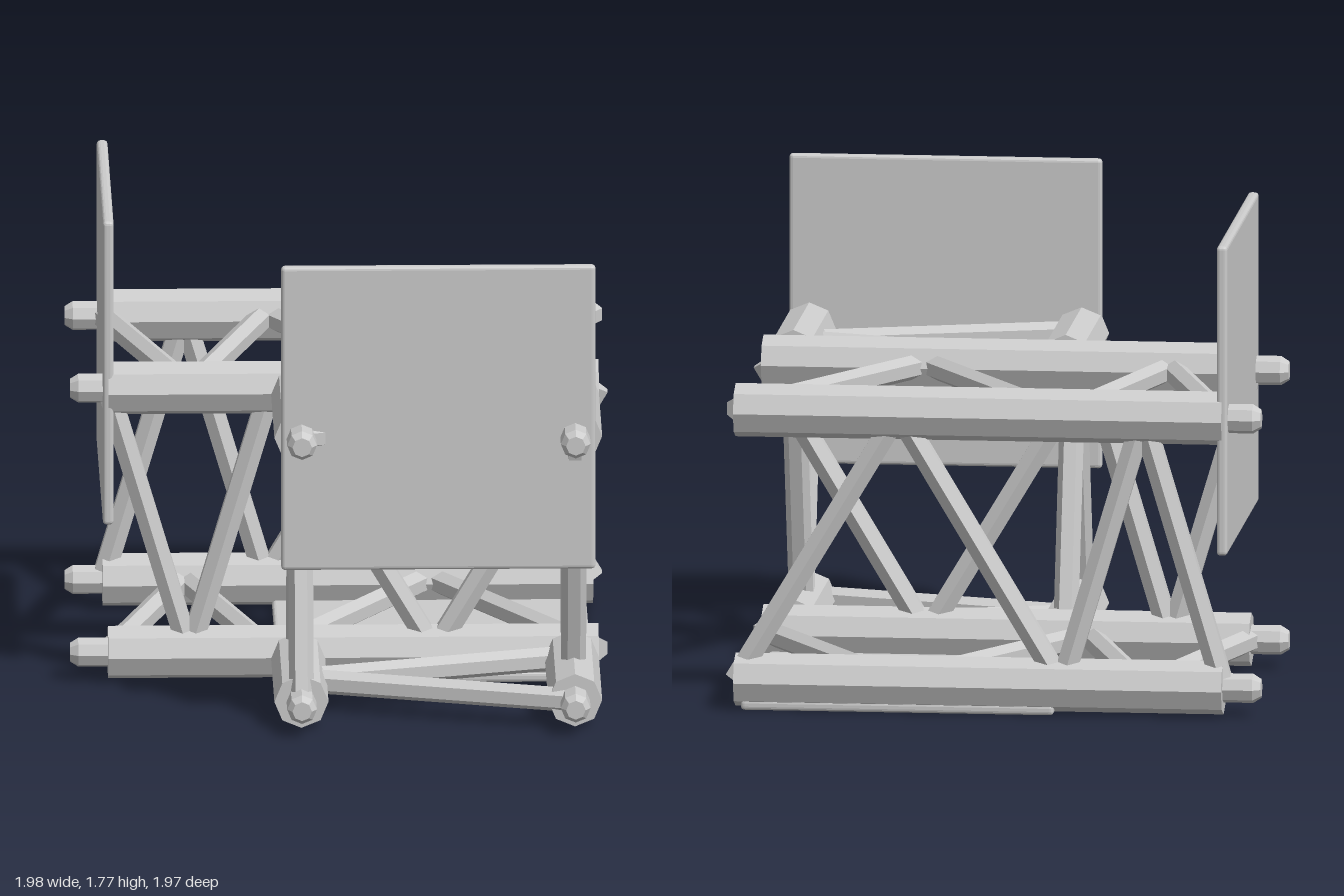
import * as THREE from 'three';
import { RoundedBoxGeometry } from 'three/addons/geometries/RoundedBoxGeometry.js';

const V = (x, y, z) => new THREE.Vector3(x, y, z);
const material = new THREE.MeshStandardMaterial({ color: 0xcccccc, flatShading: true });

// Main truss rails (run along x) and branch truss rails (run along z)
const LOW = 0.105, HIGH = 1.115;
const BACK = -0.885, FRONT = 0.13;
const RIGHT = -0.16, LEFT = 0.85;
const X_NODES = [-0.86, -0.56, -0.26, 0.345, 0.95];
const Z_NODES = [0.235, 0.537, 0.84];

function add(parent, name, geometry) {
  const mesh = new THREE.Mesh(geometry, material);
  mesh.name = name;
  parent.add(mesh);
  return mesh;
}

// Straight bar from a to b with one corner of its section turned towards normal
function bar(parent, name, a, b, radius, sides, normal, endRadius = radius) {
  const dir = b.clone().sub(a);
  const mesh = add(parent, name, new THREE.CylinderGeometry(endRadius, radius, dir.length(), sides));
  dir.normalize();
  const side = dir.clone().cross(normal).normalize();
  mesh.quaternion.setFromRotationMatrix(
    new THREE.Matrix4().makeBasis(side, dir, side.clone().cross(dir)));
  mesh.position.copy(a).add(b).multiplyScalar(0.5);
}

// Zigzag of hexagonal braces; at(node, startSide) gives the point on either rail
function lacing(parent, name, nodes, normal, at) {
  for (let i = 0; i < nodes.length - 1; i++) {
    bar(parent, name, at(nodes[i], i % 2 === 0), at(nodes[i + 1], i % 2 === 1), 0.046, 6, normal);
  }
}

// Connector pin with a chamfered tip, pointing from base along dir
function pin(parent, base, dir, up) {
  const point = (d) => base.clone().addScaledVector(dir, d);
  bar(parent, 'connectorPin', point(-0.02), point(0.11), 0.055, 8, up);
  bar(parent, 'connectorPinTip', point(0.11), point(0.14), 0.055, 8, up, 0.036);
}

function plate(parent, name, size, centre) {
  add(parent, name, new RoundedBoxGeometry(...size, 2, 0.014)).position.set(...centre);
}

export function createModel() {
  const group = new THREE.Group();
  const X = V(1, 0, 0), Y = V(0, 1, 0), Z = V(0, 0, 1);

  // Main truss along x
  const main = new THREE.Group();
  main.name = 'mainTruss';
  for (const y of [LOW, HIGH]) for (const z of [BACK, FRONT]) {
    bar(main, 'mainRail', V(-0.86, y, z), V(0.95, y, z), 0.1, 8, Y);
    pin(main, V(-0.86, y, z), V(-1, 0, 0), Y);
  }
  lacing(main, 'frontBrace', X_NODES, Z, (x, s) => V(x, s ? HIGH : LOW, FRONT));
  lacing(main, 'backBrace', X_NODES, Z, (x, s) => V(x, s ? LOW : HIGH, BACK));
  lacing(main, 'topBrace', X_NODES, Y, (x, s) => V(x, HIGH, s ? BACK : FRONT));
  lacing(main, 'bottomBrace', X_NODES, Y, (x, s) => V(x, LOW, s ? FRONT : BACK));

  // Branch truss along z
  const branch = new THREE.Group();
  branch.name = 'branchTruss';
  for (const y of [LOW, HIGH]) for (const x of [RIGHT, LEFT]) {
    bar(branch, 'branchRail', V(x, y, 0.235), V(x, y, 0.84), 0.1, 8, Y);
    pin(branch, V(x, y, 0.84), Z, Y);
  }
  lacing(branch, 'leftBrace', Z_NODES, X, (z, s) => V(LEFT, s ? HIGH : LOW, z));
  lacing(branch, 'rightBrace', Z_NODES, X, (z, s) => V(RIGHT, s ? LOW : HIGH, z));
  lacing(branch, 'topBrace', Z_NODES, Y, (z, s) => V(s ? RIGHT : LEFT, HIGH, z));
  lacing(branch, 'bottomBrace', Z_NODES, Y, (z, s) => V(s ? LEFT : RIGHT, LOW, z));

  // Square panels on the two open ends and below the corner
  plate(group, 'frontPanel', [1.16, 1.16, 0.04], [0.345, 1.19, 0.835]);
  plate(group, 'sidePanel', [0.04, 1.16, 1.16], [-0.86, 1.19, -0.373]);
  plate(group, 'basePanel', [1.16, 0.04, 1.16], [0.345, 0.02, -0.373]);

  group.add(main, branch);
  return group;
}
